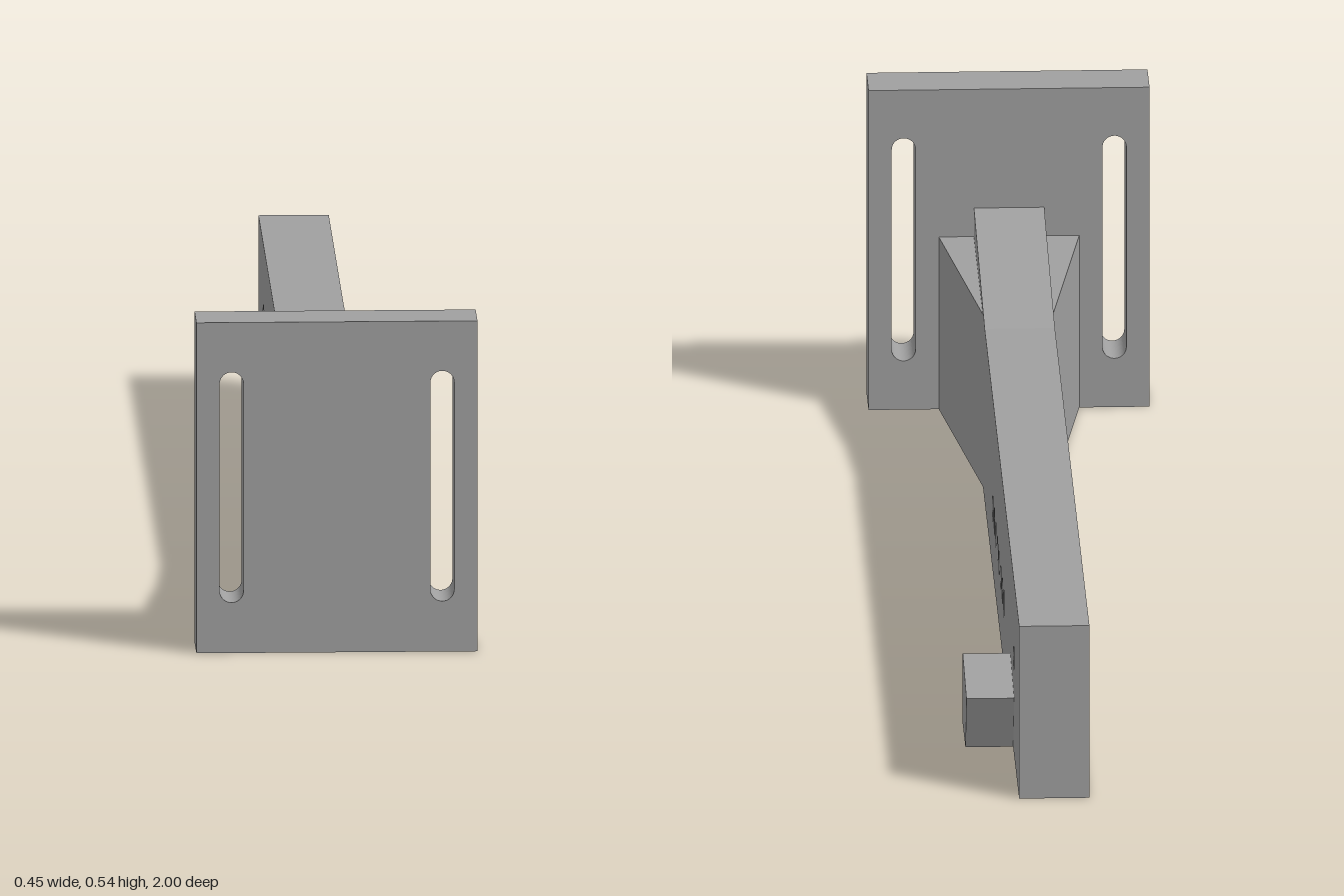
import * as THREE from 'three';

const BAR_HALF = 0.056;   // half the thickness of the bar
const PLATE_BACK = 0.913; // z of the mounting plate's rear face

const polygon = (points) => new THREE.Shape(points.map(([a, b]) => new THREE.Vector2(a, b)));

// Extrudes a (z, y) outline sideways, from x0 to x1
function extrudeAcross(shape, x0, x1) {
  const geometry = new THREE.ExtrudeGeometry(shape, { depth: x1 - x0, bevelEnabled: false, curveSegments: 16 });
  return geometry.rotateY(-Math.PI / 2).translate(x1, 0, 0);
}

// Round hole
function roundHole(z, y, r) {
  const path = new THREE.Path();
  path.absarc(z, y, r, 0, Math.PI * 2, true);
  return path;
}

// Round hole drawn out to a point at the top and bottom
function pointedHole(z, y) {
  const points = [];
  for (let i = 0; i < 16; i++) {
    const a = -i * Math.PI / 8;
    const tip = i % 8 === 4 ? 1.25 : 1.08;
    points.push(new THREE.Vector2(z + 0.019 * Math.cos(a), y + 0.019 * tip * Math.sin(a)));
  }
  return new THREE.Path(points);
}

// Hexagonal nut recess with a corner upwards
function hexHole(z, y, r) {
  const points = [];
  for (let i = 0; i < 6; i++) {
    const a = Math.PI / 2 - i * Math.PI / 3;
    points.push(new THREE.Vector2(z + r * Math.cos(a), y + r * Math.sin(a)));
  }
  return new THREE.Path(points);
}

// Upright slot with rounded ends
function slot(x, y0, y1, r) {
  const path = new THREE.Path();
  path.absarc(x, y1 - r, r, 0, Math.PI, false);
  path.absarc(x, y0 + r, r, Math.PI, Math.PI * 2, false);
  path.closePath();
  return path;
}

export function createModel() {
  const group = new THREE.Group();
  const grey = new THREE.MeshStandardMaterial({ color: 0xa0a0a0 });
  grey.name = 'plain grey';

  const add = (name, geometry) => {
    const mesh = new THREE.Mesh(geometry, grey);
    mesh.name = name;
    group.add(mesh);
  };

  // Mounting plate with two long slots
  const plate = polygon([[-0.224, 0], [0.224, 0], [0.224, 0.538], [-0.224, 0.538]]);
  for (const side of [-1, 1]) plate.holes.push(slot(side * 0.168, 0.082, 0.457, 0.019));
  add('mountingPlate', new THREE.ExtrudeGeometry(plate, {
    depth: 1 - PLATE_BACK, bevelEnabled: false, curveSegments: 16,
  }).translate(0, 0, PLATE_BACK));

  // Bar in two layers, so that the nut recess stops halfway through
  const barLayer = (lastHole) => {
    const shape = polygon([[-1, 0], [PLATE_BACK, 0], [PLATE_BACK, 0.338], [0.46, 0.29], [-1, 0.29]]);
    for (let i = 0; i < 8; i++) shape.holes.push(pointedHole(0.12 - i * 0.067, 0.105));
    shape.holes.push(lastHole);
    return shape;
  };
  add('barRecessSide', extrudeAcross(barLayer(hexHole(-0.77, 0.158, 0.038)), -BAR_HALF, 0));
  add('barHookSide', extrudeAcross(barLayer(roundHole(-0.77, 0.158, 0.02)), 0, BAR_HALF));

  // Tapered side gussets that widen the bar towards the plate
  for (const side of [-1, 1]) {
    const gusset = polygon([[side * BAR_HALF, -0.53], [side * BAR_HALF, -PLATE_BACK], [side * 0.112, -PLATE_BACK]]);
    add(side > 0 ? 'leftGusset' : 'rightGusset',
      new THREE.ExtrudeGeometry(gusset, { depth: 0.29, bevelEnabled: false }).rotateX(-Math.PI / 2));
  }

  // Slanted hook block on the left face
  const hook = polygon([[-0.63, 0], [-0.63, 0.118], [-0.787, 0.096], [-0.745, 0]]);
  add('hookBlock', extrudeAcross(hook, BAR_HALF, 0.132));

  return group;
}
